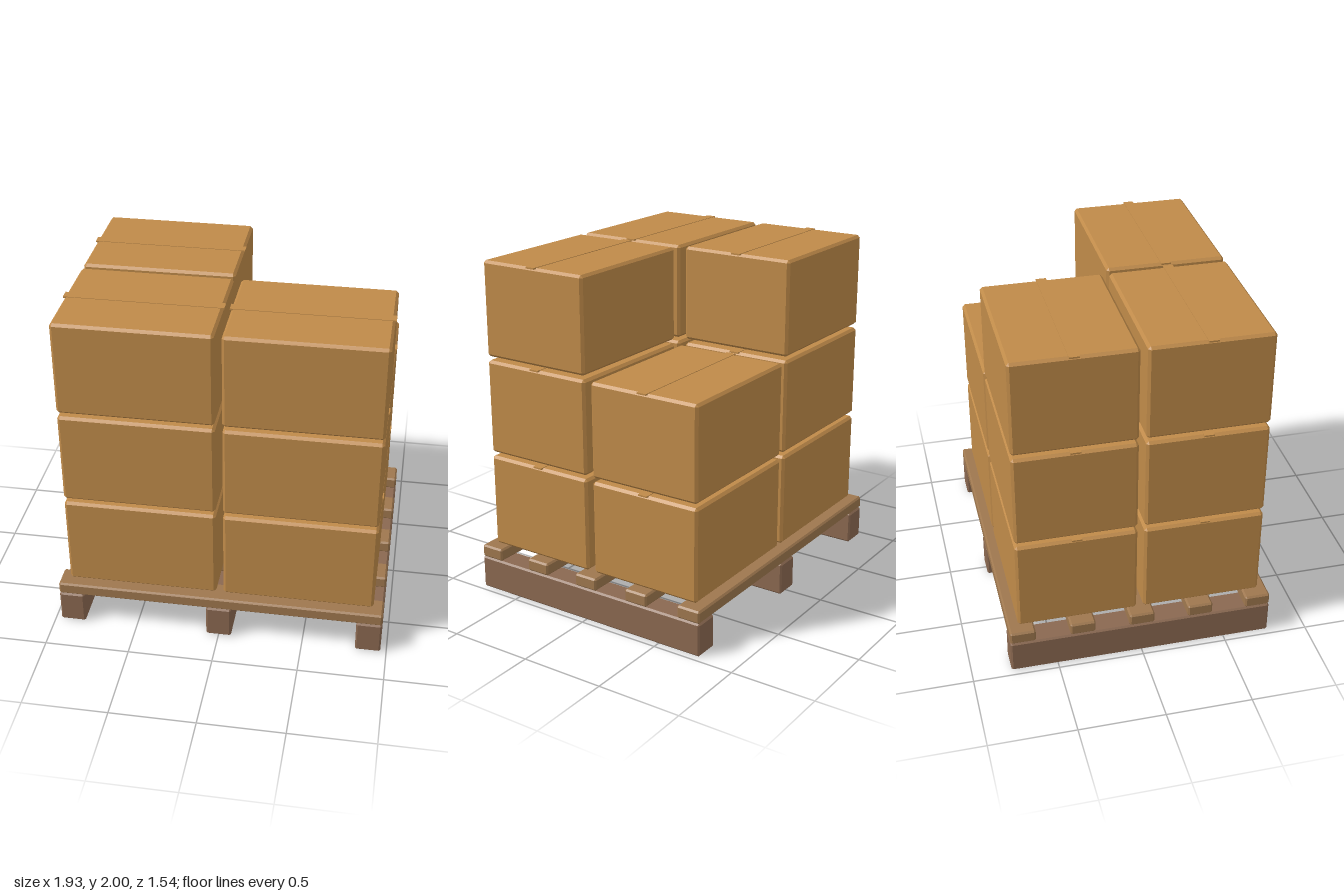
import * as THREE from 'three';
import { ConvexGeometry } from 'three/addons/geometries/ConvexGeometry.js';

const material = (name, color) => {
  const m = new THREE.MeshStandardMaterial({ color });
  m.name = name;
  return m;
};

// Box with a flat chamfer of size c on every edge
function chamferBox(w, h, d, c) {
  const points = [];
  for (const sx of [-1, 1]) for (const sy of [-1, 1]) for (const sz of [-1, 1]) {
    for (let axis = 0; axis < 3; axis++) {
      const inset = [c, c, c];
      inset[axis] = 0;
      points.push(new THREE.Vector3(
        sx * (w / 2 - inset[0]), sy * (h / 2 - inset[1]), sz * (d / 2 - inset[2])));
    }
  }
  return new ConvexGeometry(points);
}

export function createModel() {
  const model = new THREE.Group();
  model.name = 'loadedPallet';
  const cardboard = material('cardboard', 0xbf8a49);
  const deckWood = material('deckWood', 0x9e774e);
  const runnerWood = material('runnerWood', 0x8a6850);

  const add = (parent, name, geometry, mat, x, y, z) => {
    const mesh = new THREE.Mesh(geometry, mat);
    mesh.name = name;
    mesh.position.set(x, y, z);
    parent.add(mesh);
  };

  // Pallet: three runners along z, five deck boards across x
  const pallet = new THREE.Group();
  pallet.name = 'pallet';
  model.add(pallet);
  const runner = chamferBox(0.15, 0.198, 1.545, 0.01);
  for (const i of [-1, 0, 1]) add(pallet, 'runner', runner, runnerWood, i * 0.89, 0.099, 0);
  const board = chamferBox(1.93, 0.075, 0.148, 0.01);
  for (let i = -2; i <= 2; i++) add(pallet, 'deckBoard', board, deckWood, 0, 0.235, i * 0.349);

  // Cartons: stacks of three, with only two at the back on the +x side
  const cartonBody = chamferBox(0.885, 0.557, 0.695, 0.015);
  const tapeStrip = new THREE.BoxGeometry(0.898, 0.009, 0.058);
  for (const sx of [-1, 1]) for (const sz of [-1, 1]) {
    const levels = sx > 0 && sz < 0 ? 2 : 3;
    for (let level = 0; level < levels; level++) {
      const carton = new THREE.Group();
      carton.name = 'carton';
      carton.position.set(sx * 0.4635, 0.278 + level * 0.581, sz * 0.3675);
      add(carton, 'cartonBody', cartonBody, cardboard, 0, 0.2785, 0);
      add(carton, 'tapeStrip', tapeStrip, cardboard, 0, 0.5555, 0);
      model.add(carton);
    }
  }
  return model;
}
